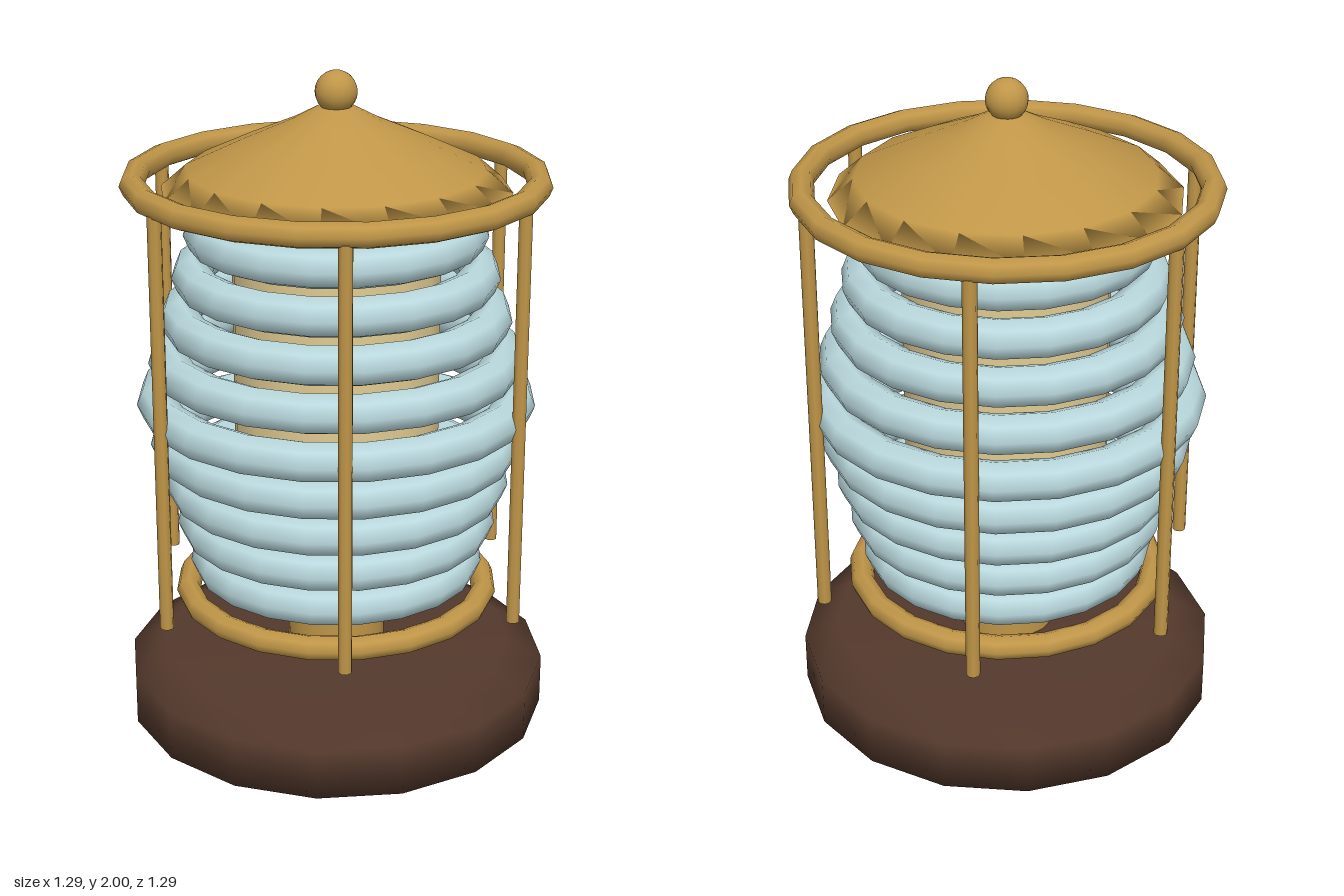
import * as THREE from 'three';

function material(name, color) {
  const m = new THREE.MeshStandardMaterial({ color });
  m.name = name;
  return m;
}

export function createModel() {
  const model = new THREE.Group();
  model.name = 'cagedLantern';
  const brass = material('brass', 0xc09648);
  const wood = material('dark wood', 0x54392c);
  const glass = material('pale blue glass', 0xb9d8dd);
  const glow = material('warm cream', 0xe2cc92);

  function add(name, geometry, mat, x = 0, y = 0, z = 0) {
    const mesh = new THREE.Mesh(geometry, mat);
    mesh.name = name;
    mesh.position.set(x, y, z);
    model.add(mesh);
    return mesh;
  }
  const lathe = (profile) =>
    new THREE.LatheGeometry(profile.map(([r, y]) => new THREE.Vector2(r, y)), 16);
  const hoop = (radius, tube) =>
    new THREE.TorusGeometry(radius, tube, 8, 20).rotateX(Math.PI / 2);

  // Chamfered base and stem
  add('base', lathe([[0, 0], [0.645, 0], [0.645, 0.155], [0.54, 0.208], [0, 0.208]]), wood);
  add('stem', new THREE.CylinderGeometry(0.15, 0.15, 0.28, 16), brass, 0, 0.33);

  // Light core inside the coils
  add('core', new THREE.CylinderGeometry(0.31, 0.31, 1.08, 16), glow, 0, 0.99);

  // Nine stacked glass rings, bulging at the middle
  for (let i = 0; i < 9; i++) {
    const radius = 0.54 - 0.0375 * Math.abs(i - 4);
    add('glassRing' + (i + 1), hoop(radius, 0.06), glass, 0, 0.495 + i * 0.1292);
  }

  // Cage: two hoops and six posts
  add('lowerHoop', hoop(0.46, 0.037), brass, 0, 0.392);
  add('upperHoop', hoop(0.593, 0.037), brass, 0, 1.682);
  for (let i = 0; i < 6; i++) {
    const a = (i * Math.PI) / 3;
    add('cagePost' + (i + 1), new THREE.CylinderGeometry(0.021, 0.021, 1.27, 8), brass,
      0.597 * Math.cos(a), 1.025, 0.597 * Math.sin(a));
  }

  // Domed roof with a ball on top
  add('roof', lathe([
    [0, 1.65], [0.515, 1.65], [0.44, 1.715], [0.28, 1.79], [0.13, 1.855], [0.06, 1.892], [0, 1.9],
  ]), brass);
  add('finial', new THREE.SphereGeometry(0.062, 16, 12), brass, 0, 1.938);

  return model;
}
